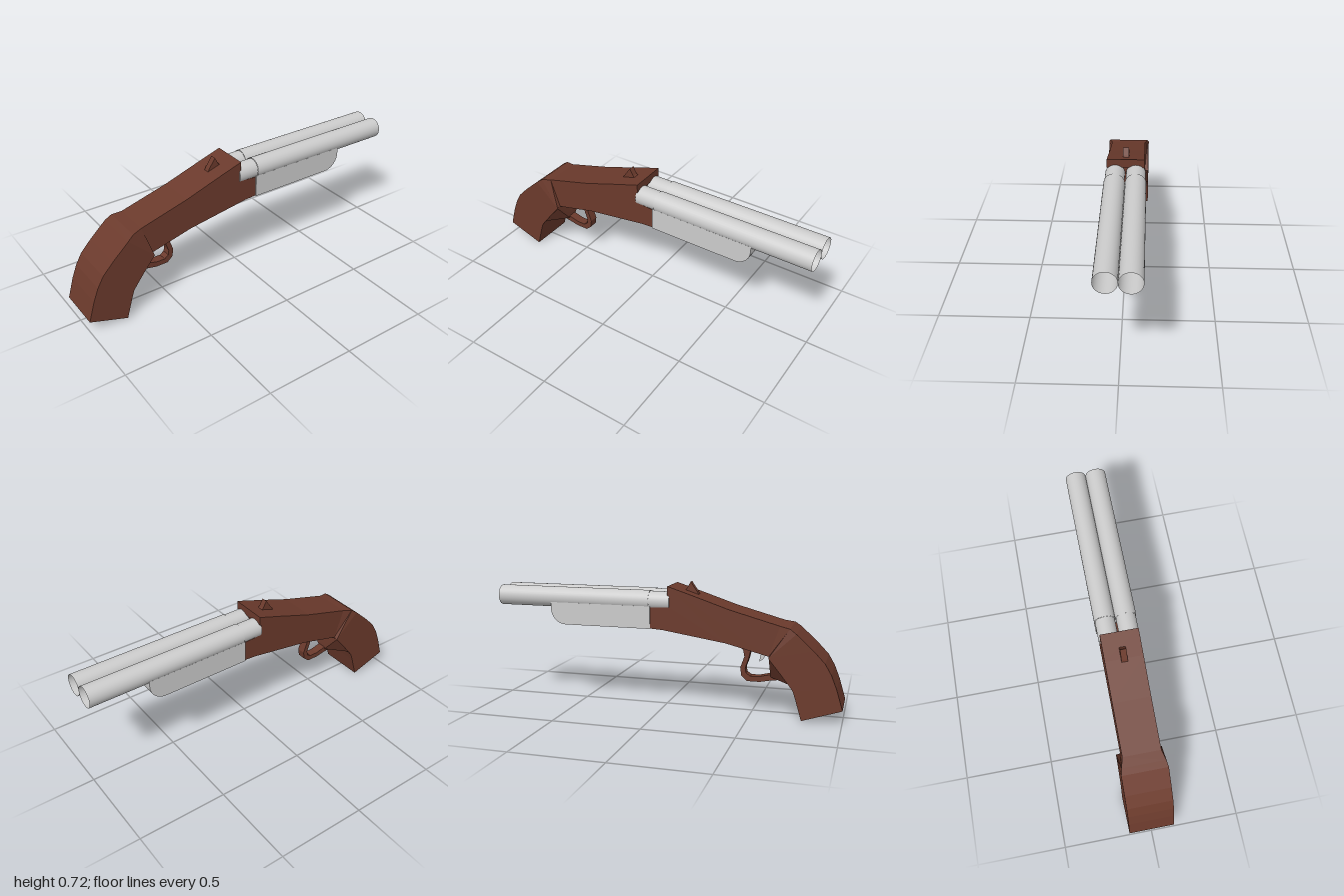
import * as THREE from 'three';
import { toCreasedNormals } from 'three/addons/utils/BufferGeometryUtils.js';
import { ConvexGeometry } from 'three/addons/geometries/ConvexGeometry.js';

const wood = new THREE.MeshStandardMaterial({ color: 0x6b3a2c, flatShading: true });
const metal = new THREE.MeshStandardMaterial({ color: 0xcccccc, side: THREE.DoubleSide });

// Extrudes a side outline of [z, y] points across x, centred on x = 0
function sideExtrude(points, width) {
  const shape = new THREE.Shape(points.map(([z, y]) => new THREE.Vector2(z, y)));
  const geo = new THREE.ExtrudeGeometry(shape, { depth: width, bevelEnabled: false });
  return geo.translate(0, 0, -width / 2).rotateY(-Math.PI / 2);
}

// Joins four-cornered sections [zTop, yTop, zBottom, yBottom, halfTop, halfBottom]
function loft(sections) {
  const rings = sections.map(([zt, yt, zb, yb, wt, wb]) => [
    [-wb, yb, zb], [wb, yb, zb], [wt, yt, zt], [-wt, yt, zt],
  ]);
  const pos = [];
  const quad = (a, b, c, d) => pos.push(...a, ...b, ...c, ...a, ...c, ...d);
  quad(...rings[0]);
  for (let s = 0; s < rings.length - 1; s++) {
    const a = rings[s], b = rings[s + 1];
    for (let i = 0; i < 4; i++) {
      const j = (i + 1) % 4;
      quad(a[i], b[i], b[j], a[j]);
    }
  }
  quad(...rings[rings.length - 1].slice().reverse());
  const geo = new THREE.BufferGeometry();
  geo.setAttribute('position', new THREE.Float32BufferAttribute(pos, 3));
  geo.computeVertexNormals();
  return geo;
}

export function createModel() {
  const model = new THREE.Group();
  const add = (name, geo, mat) => {
    const mesh = new THREE.Mesh(geo, mat);
    mesh.name = name;
    model.add(mesh);
    return mesh;
  };

  // Wide curved grip, narrowing where it meets the receiver
  add('grip', loft([
    [1.0, 0.075, 0.785, 0.003, 0.128, 0.128],
    [0.965, 0.19, 0.75, 0.12, 0.128, 0.128],
    [0.935, 0.265, 0.735, 0.165, 0.128, 0.128],
    [0.90, 0.325, 0.705, 0.205, 0.128, 0.128],
    [0.84, 0.388, 0.67, 0.25, 0.128, 0.128],
    [0.745, 0.475, 0.60, 0.335, 0.128, 0.128],
    [0.71, 0.50, 0.60, 0.337, 0.12, 0.128],
    [0.655, 0.51, 0.598, 0.34, 0.105, 0.105],
  ]), wood);

  // Receiver with the stepped seat for the breech
  add('receiver', sideExtrude([
    [0.655, 0.51], [0.60, 0.34], [0.44, 0.38], [0.36, 0.40], [0.0, 0.455],
    [-0.075, 0.46], [-0.075, 0.577], [0.04, 0.585], [0.04, 0.645],
    [0.03, 0.65], [0.03, 0.70], [0.17, 0.655], [0.38, 0.585],
  ], 0.21), wood);

  // Tapered web between the grip and the trigger guard
  const web = [];
  for (const s of [-1, 1]) {
    web.push(
      new THREE.Vector3(s * 0.127, 0.335, 0.602),
      new THREE.Vector3(s * 0.127, 0.20, 0.71),
      new THREE.Vector3(s * 0.025, 0.245, 0.60),
      new THREE.Vector3(s * 0.025, 0.208, 0.60),
    );
  }
  add('guardWeb', new ConvexGeometry(web), wood);

  // Trigger guard loop
  add('triggerGuard', sideExtrude([
    [0.69, 0.20], [0.60, 0.188], [0.54, 0.176], [0.47, 0.176], [0.437, 0.205],
    [0.43, 0.25], [0.452, 0.315], [0.445, 0.35], [0.41, 0.39], [0.48, 0.375],
    [0.485, 0.345], [0.475, 0.30], [0.458, 0.25], [0.463, 0.222], [0.487, 0.205],
    [0.535, 0.206], [0.60, 0.222],
  ], 0.05), wood);

  // Trigger
  add('trigger', sideExtrude([
    [0.58, 0.36], [0.567, 0.325], [0.553, 0.302], [0.533, 0.287],
    [0.538, 0.315], [0.55, 0.36],
  ], 0.02), metal);

  // Thumb lever on top of the receiver
  add('thumbLever', sideExtrude([
    [0.19, 0.643], [0.178, 0.665], [0.14, 0.72], [0.118, 0.68], [0.09, 0.66],
  ], 0.034), wood);

  // Twin open barrels and their slightly slimmer breech ends
  for (const s of [-1, 1]) {
    const side = s > 0 ? 'left' : 'right';
    const barrel = new THREE.CylinderGeometry(0.0585, 0.0585, 0.92, 32, 1, true);
    add(side + 'Barrel', barrel.rotateX(Math.PI / 2), metal).position.set(s * 0.0585, 0.611, -0.54);
    const breech = new THREE.CylinderGeometry(0.055, 0.055, 0.12, 32);
    add(side + 'Breech', breech.rotateX(Math.PI / 2), metal).position.set(s * 0.058, 0.611, -0.021);
  }

  // Fore-end with a rounded nose
  const nose = new THREE.EllipseCurve(-0.58, 0.55, 0.09, 0.092, -Math.PI / 2, -Math.PI, true)
    .getPoints(10).map((p) => [p.x, p.y]);
  add('foreEnd', toCreasedNormals(
    sideExtrude([[-0.07, 0.585], [-0.07, 0.458], ...nose, [-0.67, 0.585]], 0.222), 0.6), metal);

  return model;
}
